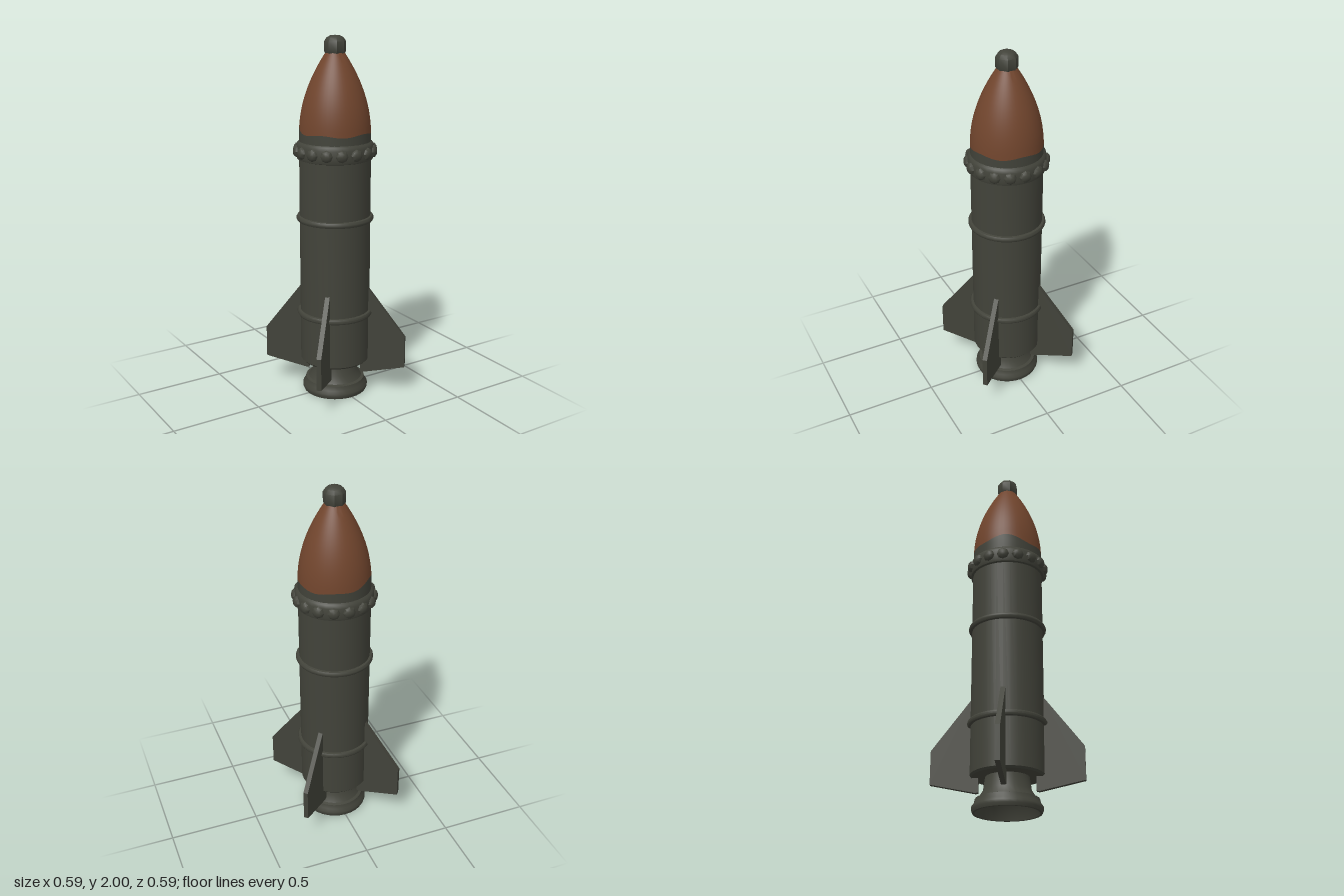
import * as THREE from 'three';
import { toCreasedNormals } from 'three/addons/utils/BufferGeometryUtils.js';

const SEG = 32;

export function createModel() {
  const group = new THREE.Group();
  const grey = new THREE.MeshStandardMaterial({ color: 0x42433a });
  grey.name = 'dark olive grey';
  const rust = new THREE.MeshStandardMaterial({ color: 0x71452d });
  rust.name = 'rust brown';

  const add = (name, geometry, material = grey) => {
    const mesh = new THREE.Mesh(geometry, material);
    mesh.name = name;
    group.add(mesh);
    return mesh;
  };
  const lathe = (points, segments = SEG) => toCreasedNormals(
    new THREE.LatheGeometry(points.map(([r, y]) => new THREE.Vector2(r, y)), segments), 0.7);

  // Main tube, closed underneath
  add('body', lathe([[0, 0.19], [0.185, 0.19], [0.194, 0.2], [0.194, 1.4]]));

  // Hollow exhaust bell: outer wall upward, inner wall back down
  add('nozzle', lathe([
    [0, 0.15], [0.1, 0.13], [0.15, 0.07], [0.166, 0.005], [0.178, 0.005], [0.184, 0.02],
    [0.184, 0.035], [0.172, 0.05], [0.166, 0.075], [0.15, 0.08], [0.125, 0.12], [0.115, 0.19],
  ]));

  // Raised hoops round the tube
  for (const [name, y] of [['lowerHoop', 0.475], ['middleHoop', 1.02]]) {
    add(name, lathe([[0.19, y - 0.017], [0.206, y - 0.014], [0.212, y - 0.004],
      [0.212, y + 0.004], [0.206, y + 0.014], [0.19, y + 0.017]]));
  }

  // Bolted collar
  add('collar', lathe([[0.19, 1.345], [0.205, 1.35], [0.21, 1.365], [0.21, 1.42],
    [0.203, 1.437], [0.19, 1.447]]));
  const boltShape = lathe([[0.035, 0], [0.03, 0.016], [0.018, 0.025], [0, 0.027]], 8);
  boltShape.rotateX(Math.PI / 2);
  for (let i = 0; i < 16; i++) {
    const a = (i / 16) * Math.PI * 2;
    const bolt = add('bolt', boltShape);
    bolt.position.set(Math.sin(a) * 0.202, 1.393, Math.cos(a) * 0.202);
    bolt.rotation.y = a;
  }

  // Nose cone, split along an uneven paint edge
  const noseRadius = (y) => 0.193 * (1 - Math.max(0, (y - 1.48) / 0.5) ** 2);
  const paintEdge = (a) => 1.492 + 0.006 * Math.sin(5 * a)
    + 0.03 * Math.max(0, Math.cos(a - Math.PI * 1.25)) ** 6;
  const noseSection = (from, to, rows) => {
    const points = Array.from({ length: rows + 1 }, (_, i) => new THREE.Vector2(1, i / rows));
    const geometry = new THREE.LatheGeometry(points, 48);
    const p = geometry.attributes.position;
    for (let i = 0; i < p.count; i++) {
      const a = Math.atan2(p.getX(i), p.getZ(i));
      const y = THREE.MathUtils.lerp(from(a), to(a), p.getY(i));
      p.setXYZ(i, Math.sin(a) * noseRadius(y), y, Math.cos(a) * noseRadius(y));
    }
    return toCreasedNormals(geometry, 0.7);
  };
  add('noseBase', noseSection(() => 1.4, paintEdge, 4));
  add('noseCone', noseSection(paintEdge, () => 1.915, 14), rust);

  // Eight-sided fuse cap
  const cap = add('noseCap', lathe([[0.05, 1.9], [0.058, 1.915], [0.058, 1.968],
    [0.045, 1.988], [0.025, 1.998], [0, 2]], 8));
  cap.rotation.y = Math.PI / 8;

  // Four diagonal fins, drawn as distance from the axis against height
  const outline = new THREE.Shape([[0.15, 0.115], [0.165, 0.112], [0.402, 0.163], [0.402, 0.342],
    [0.19, 0.62], [0.15, 0.62]].map(([r, y]) => new THREE.Vector2(r, y)));
  const finShape = new THREE.ExtrudeGeometry(outline, { depth: 0.026, bevelEnabled: false });
  finShape.translate(0, 0, -0.013);
  for (let i = 0; i < 4; i++) {
    add('fin', finShape).rotation.y = Math.PI / 4 + (i * Math.PI) / 2;
  }

  return group;
}
